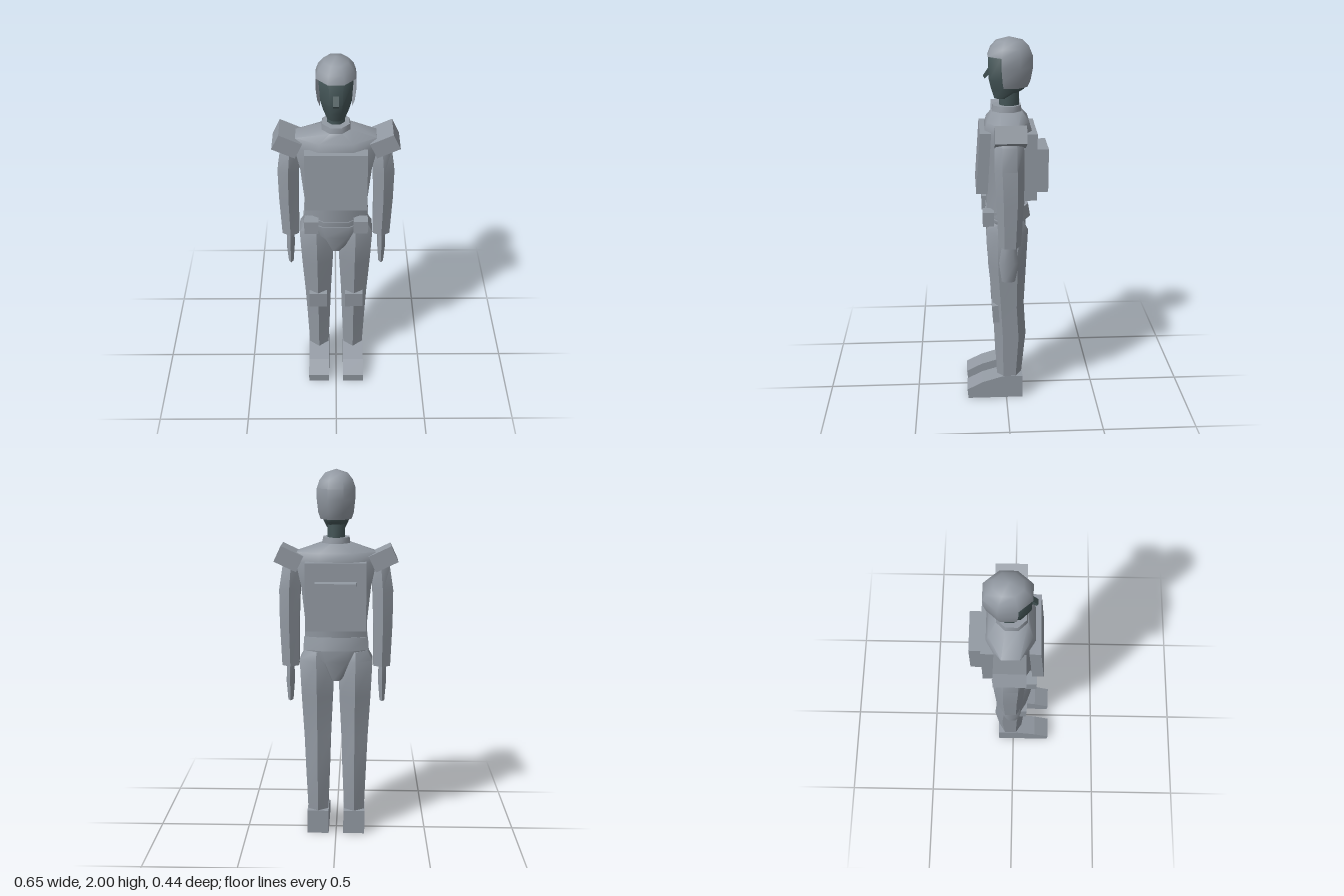
import * as THREE from 'three';
import { toCreasedNormals } from 'three/addons/utils/BufferGeometryUtils.js';

const suit = new THREE.MeshStandardMaterial({ color: 0x9299a2 });
const shell = new THREE.MeshStandardMaterial({ color: 0x9299a2, side: THREE.DoubleSide });
const dark = new THREE.MeshStandardMaterial({ color: 0x455658 });

// Lofts a closed tube through sections [y, centreX, centreZ, halfX, halfZ], bottom to top.
// offset 0.5 puts a flat at the front, 0 puts an edge there; skip leaves out single panels.
function loft(sections, sides, offset, { caps = true, skip = () => false } = {}) {
  const angles = Array.from({ length: sides }, (_, i) => ((i + offset) / sides) * Math.PI * 2);
  const mx = Math.max(...angles.map((a) => Math.abs(Math.sin(a))));
  const mz = Math.max(...angles.map((a) => Math.abs(Math.cos(a))));
  const pos = [], index = [];
  for (const [y, cx, cz, rx, rz] of sections)
    for (const a of angles) pos.push(cx + (Math.sin(a) / mx) * rx, y, cz + (Math.cos(a) / mz) * rz);
  for (let j = 0; j < sections.length - 1; j++)
    for (let k = 0; k < sides; k++) {
      if (skip(j, k)) continue;
      const a = j * sides + k, b = j * sides + ((k + 1) % sides);
      index.push(a, b, b + sides, a, b + sides, a + sides);
    }
  if (caps) {
    const top = (sections.length - 1) * sides;
    for (let k = 1; k < sides - 1; k++) index.push(0, k + 1, k, top, top + k, top + k + 1);
  }
  const g = new THREE.BufferGeometry();
  g.setAttribute('position', new THREE.Float32BufferAttribute(pos, 3));
  g.setIndex(index);
  return toCreasedNormals(g, 0.9);
}

// Extrudes a side profile of [z, y] points across x.
function sideProfile(points, width) {
  const shape = new THREE.Shape(points.map(([z, y]) => new THREE.Vector2(z, y)));
  const g = new THREE.ExtrudeGeometry(shape, { depth: width, bevelEnabled: false });
  return g.translate(0, 0, -width / 2).rotateY(-Math.PI / 2);
}

export function createModel() {
  const model = new THREE.Group();
  const add = (name, geometry, x = 0, y = 0, z = 0, material = suit) => {
    const mesh = new THREE.Mesh(geometry, material);
    mesh.name = name;
    mesh.position.set(x, y, z);
    model.add(mesh);
    return mesh;
  };
  const box = (name, w, h, d, x, y, z) => add(name, new THREE.BoxGeometry(w, h, d), x, y, z);

  // Head, nose and neck
  add('head', loft([
    [1.69, 0, 0.02, 0.042, 0.036],
    [1.74, 0, -0.012, 0.064, 0.084],
    [1.79, 0, -0.012, 0.077, 0.096],
    [1.9, 0, -0.014, 0.084, 0.098],
    [1.96, 0, -0.02, 0.045, 0.05],
  ], 8, 0.5), 0, 0, 0, dark);
  add('nose', sideProfile([[0.08, 1.85], [0.08, 1.815], [0.104, 1.79], [0.112, 1.803]], 0.028), 0, 0, 0, dark);
  add('neck', loft([[1.63, 0, -0.02, 0.045, 0.05], [1.76, 0, -0.02, 0.045, 0.05]], 8, 0.5), 0, 0, 0, dark);

  // Helmet: full dome above the brow, open at the three front panels below it
  add('helmet', loft([
    [1.75, 0, -0.025, 0.079, 0.087],
    [1.785, 0, -0.025, 0.091, 0.102],
    [1.85, 0, -0.025, 0.098, 0.114],
    [1.905, 0, -0.025, 0.098, 0.114],
    [1.945, 0, -0.024, 0.085, 0.099],
    [1.98, 0, -0.022, 0.058, 0.068],
    [2.0, 0, -0.02, 0, 0],
  ], 8, 0.5, { caps: false, skip: (row, panel) => row < 3 && (panel < 1 || panel > 5) }), 0, 0, 0, shell);

  // Trunk
  add('collar', loft([[1.61, 0, -0.008, 0.075, 0.078], [1.655, 0, -0.008, 0.068, 0.072]], 8, 0.5));
  add('torso', loft([
    [1.08, 0, 0, 0.166, 0.1],
    [1.22, 0, 0, 0.165, 0.1],
    [1.4, 0, -0.01, 0.183, 0.118],
    [1.53, 0, -0.012, 0.21, 0.123],
    [1.58, 0, -0.012, 0.204, 0.108],
    [1.625, 0, -0.008, 0.075, 0.078],
  ], 8, 0.5));
  add('belt', loft([[-0.035, 0, 0, 0.175, 0.114], [0.035, 0, 0, 0.17, 0.112]], 8, 0.5), 0, 1.085, -0.012).rotation.x = 0.14;
  add('pelvis', loft([
    [0.89, 0, 0, 0.042, 0.08],
    [1.0, 0, 0, 0.142, 0.107],
    [1.07, 0, 0, 0.172, 0.106],
  ], 8, 0.5));

  // Chest plate and backpack
  add('chestPlate', sideProfile([[0.078, 1.54], [0.098, 1.222], [0.157, 1.222], [0.135, 1.54]], 0.316));
  box('backpack', 0.316, 0.355, 0.09, 0, 1.358, -0.112);
  box('backpackPocket', 0.212, 0.23, 0.065, 0, 1.325, -0.188);

  for (const s of [1, -1]) {
    const side = s > 0 ? 'left' : 'right';

    // Arm
    box(side + 'ShoulderPad', 0.128, 0.09, 0.158, s * 0.246, 1.547, -0.014).rotation.z = s * 0.44;
    add(side + 'Arm', loft([
      [0.965, s * 0.245, -0.012, 0.045, 0.058],
      [1.2, s * 0.248, -0.014, 0.051, 0.07],
      [1.38, s * 0.245, -0.01, 0.055, 0.075],
      [1.5, s * 0.235, -0.01, 0.046, 0.073],
      [1.568, s * 0.22, -0.012, 0.025, 0.035],
    ], 6, 0));
    add(side + 'Hand', loft([
      [0.765, s * 0.249, -0.005, 0.013, 0.035],
      [0.87, s * 0.248, -0.008, 0.021, 0.052],
      [0.98, s * 0.248, -0.008, 0.019, 0.035],
    ], 6, 0));

    // Leg
    add(side + 'Leg', loft([
      [0.12, s * 0.1, -0.017, 0.055, 0.068],
      [0.38, s * 0.1, -0.023, 0.065, 0.086],
      [0.57, s * 0.101, -0.012, 0.072, 0.085],
      [0.8, s * 0.102, -0.006, 0.084, 0.102],
      [1.0, s * 0.104, -0.006, 0.091, 0.111],
      [1.05, s * 0.104, -0.002, 0.062, 0.09],
    ], 6, 0));
    box(side + 'KneePad', 0.1, 0.1, 0.04, s * 0.101, 0.522, 0.056).rotation.x = 0.06;
    add(side + 'Foot', sideProfile([
      [-0.09, 0], [0.215, 0], [0.22, 0.055], [0.135, 0.1], [0.02, 0.135], [-0.09, 0.135],
    ], 0.118), s * 0.1);

    // Belt pouch
    box(side + 'BeltPouch', 0.074, 0.077, 0.058, s * 0.13, 1.082, 0.095);
  }
  return model;
}
